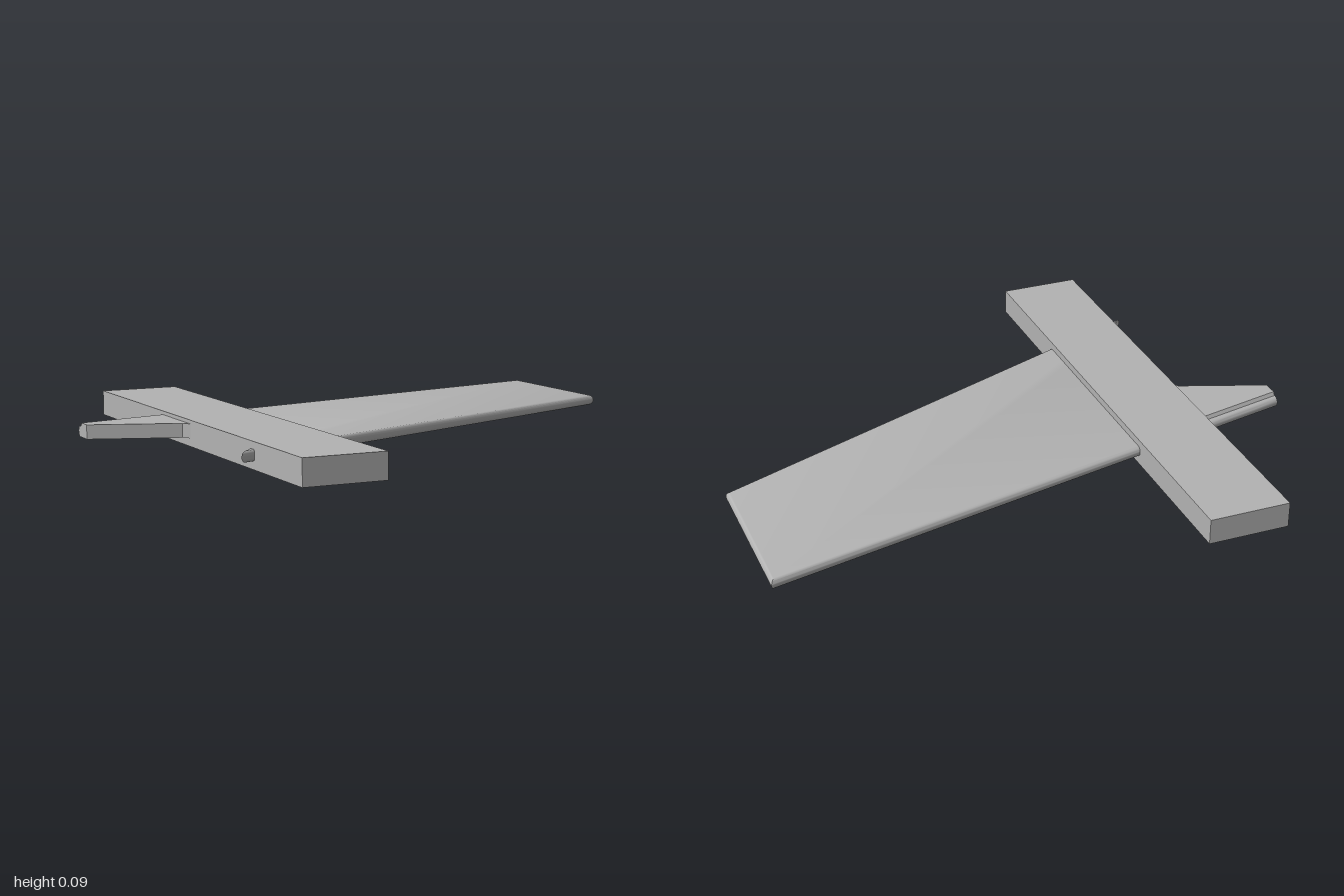
import * as THREE from 'three';
import { toCreasedNormals } from 'three/addons/utils/BufferGeometryUtils.js';

const toShape = (pts) => new THREE.Shape(pts.map(([a, b]) => new THREE.Vector2(a, b)));

export function createModel() {
  const group = new THREE.Group();
  const grey = new THREE.MeshStandardMaterial({ color: 0xb3b3b3 });
  grey.name = 'plain grey';

  const add = (name, geometry) => {
    const mesh = new THREE.Mesh(geometry, grey);
    mesh.name = name;
    group.add(mesh);
  };

  // Long square-edged bar
  const bar = new THREE.BoxGeometry(0.287, 0.09, 1.78);
  bar.translate(-0.5385, 0.045, 0);
  add('bar', bar);

  // Swept blade with rounded rims; its root point pokes out past the bar
  const r = 0.0175;
  const blade = new THREE.ExtrudeGeometry(
    toShape([[-0.6, -0.314], [1, -0.67], [1, -0.115], [-0.735, 0.558], [-0.6, 0.4]]),
    { depth: 0.002, bevelThickness: r, bevelSize: r, bevelOffset: -r, bevelSegments: 6 }
  );
  blade.rotateX(Math.PI / 2);
  blade.translate(0, 0.0475, 0);
  add('blade', toCreasedNormals(blade, 0.5));

  // Tapered stub: rounded rear rim, small ledge, raised top and flat front wall.
  // Profile is (distance from rear edge, height); 1 marks the front wall.
  const rim = [];
  for (let i = 0; i <= 8; i++) {
    const a = -Math.PI / 2 - (i / 8) * Math.PI;
    rim.push([r + r * Math.cos(a), 0.0465 + (r + 0.001) * Math.sin(a)]);
  }
  const stub = new THREE.ExtrudeGeometry(
    toShape([...rim, [0.024, 0.065], [0.032, 0.077], [1, 0.077], [1, 0.028]]),
    { depth: 0.4, steps: 4, bevelEnabled: false }
  );
  stub.translate(0, 0, 0.6);
  stub.rotateY(-Math.PI / 2);
  const p = stub.attributes.position;
  for (let i = 0; i < p.count; i++) {
    const x = p.getX(i), u = p.getZ(i);
    const rear = -0.225 - 0.2225 * (x + 1);
    const front = x < -0.699 ? -0.14 + 0.367 * (x + 1) : -0.03 + 1.5 * (x + 0.7);
    p.setZ(i, u > 0.5 ? front : rear + u);
  }
  add('stub', toCreasedNormals(stub, 0.5));

  return group;
}
